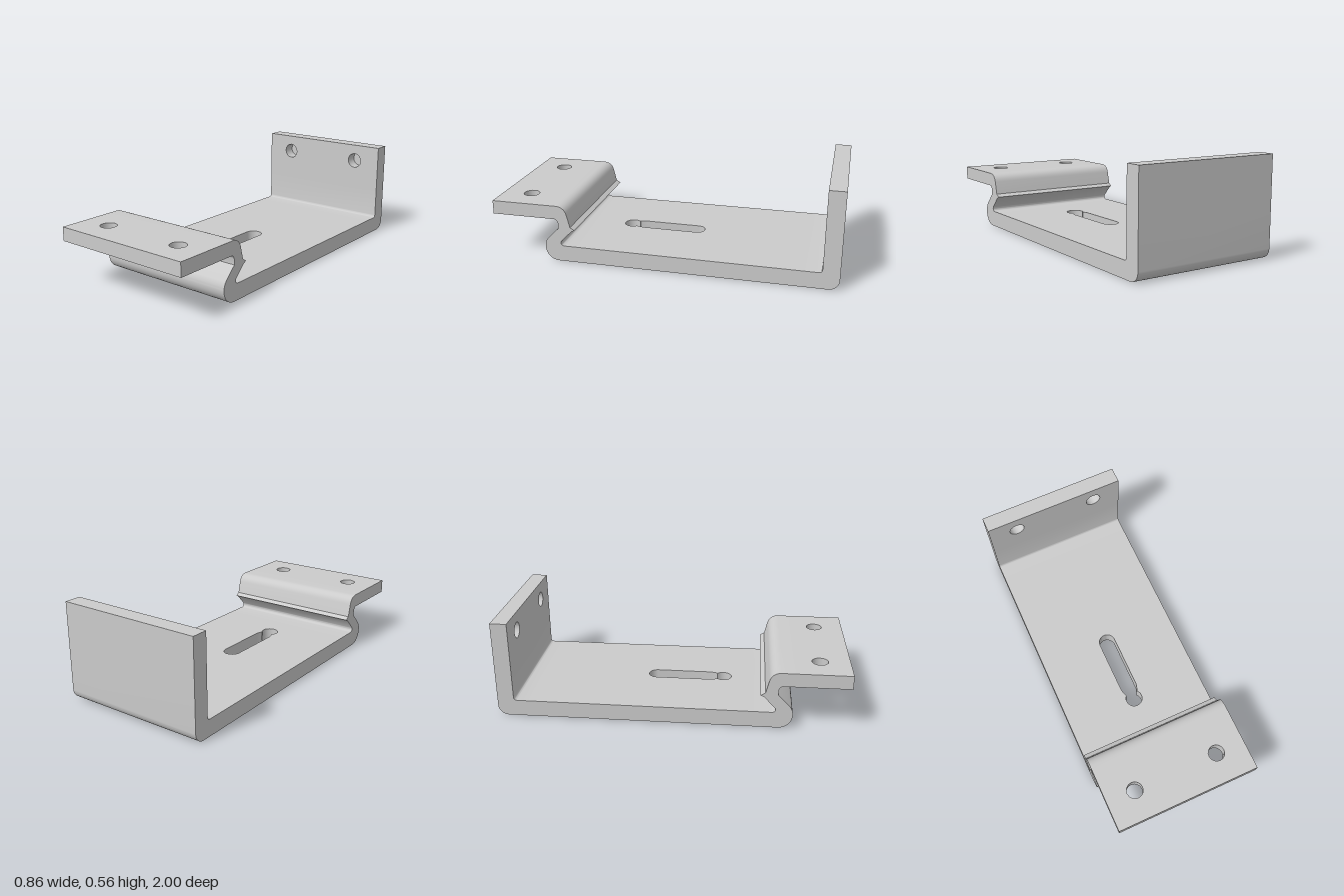
import * as THREE from 'three';
import { toCreasedNormals } from 'three/addons/utils/BufferGeometryUtils.js';

const W = 0.43;        // half width
const T = 0.095;       // base and wall thickness
const HOLE_X = 0.256, HOLE_R = 0.047;
const FLOOR_FRONT = 0.45, FLOOR_BACK = -0.8, WALL_START = 0.3, FLANGE_START = 0.7;
const material = new THREE.MeshStandardMaterial({ color: 0xcccccc });

function extrude(shape, depth) {
  return new THREE.ExtrudeGeometry(shape, { depth, bevelEnabled: false, curveSegments: 8 });
}

function part(name, geometry) {
  const mesh = new THREE.Mesh(toCreasedNormals(geometry, 0.6), material);
  mesh.name = name;
  return mesh;
}

// Side profile drawn as (z, y), swept across the full width
function sweep(name, shape) {
  return part(name, extrude(shape, 2 * W).rotateY(-Math.PI / 2).translate(W, 0, 0));
}

function rect(x0, y0, x1, y1) {
  return new THREE.Shape([[x0, y0], [x1, y0], [x1, y1], [x0, y1]].map(p => new THREE.Vector2(...p)));
}

function addRoundHoles(shape, y) {
  for (const s of [-1, 1]) {
    shape.holes.push(new THREE.Path().absarc(s * HOLE_X, y, HOLE_R, 0, Math.PI * 2, true));
  }
  return shape;
}

// Horizontal plate drawn as (x, z), extruded down from its top
function plate(name, shape, top, thickness) {
  return part(name, extrude(shape, thickness).rotateX(Math.PI / 2).translate(0, top, 0));
}

export function createModel() {
  const group = new THREE.Group();
  group.name = 'bracket';

  // Base plate with keyhole slot
  const base = rect(-W, FLOOR_BACK, W, FLOOR_FRONT);
  const slot = new THREE.Path();
  slot.moveTo(0.05, -0.125);
  slot.lineTo(0.05, 0.205);
  slot.lineTo(0.038, 0.245);
  slot.absarc(0, 0.281, 0.05, -0.8, Math.PI + 0.8, false);
  slot.lineTo(-0.038, 0.245);
  slot.lineTo(-0.05, 0.205);
  slot.lineTo(-0.05, -0.125);
  slot.absarc(0, -0.125, 0.05, Math.PI, Math.PI * 2, false);
  base.holes.push(slot);
  group.add(plate('basePlate', base, T, T));

  // Front bend: rounded toe, pinched neck with a sharp rear lip, rounded shoulder
  const hook = new THREE.Shape();
  hook.moveTo(FLOOR_FRONT, 0);
  hook.lineTo(0.605, 0);
  hook.bezierCurveTo(0.65, 0, 0.685, 0.038, 0.685, 0.082);
  hook.quadraticCurveTo(0.685, 0.115, 0.665, 0.137);
  hook.lineTo(0.6, 0.203);
  hook.lineTo(0.6, 0.232);
  hook.quadraticCurveTo(0.605, 0.258, 0.625, 0.258);
  hook.lineTo(FLANGE_START, 0.258);
  hook.lineTo(FLANGE_START, 0.338);
  hook.lineTo(0.61, 0.338);
  hook.quadraticCurveTo(0.56, 0.336, 0.547, 0.29);
  hook.lineTo(0.528, 0.214);
  hook.lineTo(0.502, 0.198);
  hook.lineTo(0.522, 0.188);
  hook.lineTo(0.586, 0.122);
  hook.quadraticCurveTo(0.594, 0.097, 0.568, T);
  hook.lineTo(FLOOR_FRONT, T);
  group.add(sweep('frontBend', hook));

  // Front flange with two through holes
  const flange = addRoundHoles(rect(-W, FLANGE_START, W, 1), 0.83);
  group.add(plate('frontFlange', flange, 0.338, 0.08));

  // Rounded corner between base and rear wall
  const corner = new THREE.Shape();
  corner.moveTo(FLOOR_BACK, 0);
  corner.lineTo(FLOOR_BACK, T);
  corner.lineTo(-0.885, T);
  corner.quadraticCurveTo(-1 + T, T, -1 + T, T + 0.02);
  corner.lineTo(-1 + T, WALL_START);
  corner.lineTo(-1, WALL_START);
  corner.lineTo(-1, 0.06);
  corner.absarc(-0.94, 0.06, 0.06, Math.PI, Math.PI * 1.5, false);
  group.add(sweep('rearBend', corner));

  // Rear wall: pierced inner layer over a solid skin, giving two blind holes
  const skin = 0.02;
  const inner = addRoundHoles(rect(-W, WALL_START, W, 0.565), 0.46);
  group.add(part('rearWallInner', extrude(inner, T - skin).translate(0, 0, -1 + skin)));
  group.add(part('rearWallSkin', extrude(rect(-W, WALL_START, W, 0.565), skin).translate(0, 0, -1)));

  return group;
}
